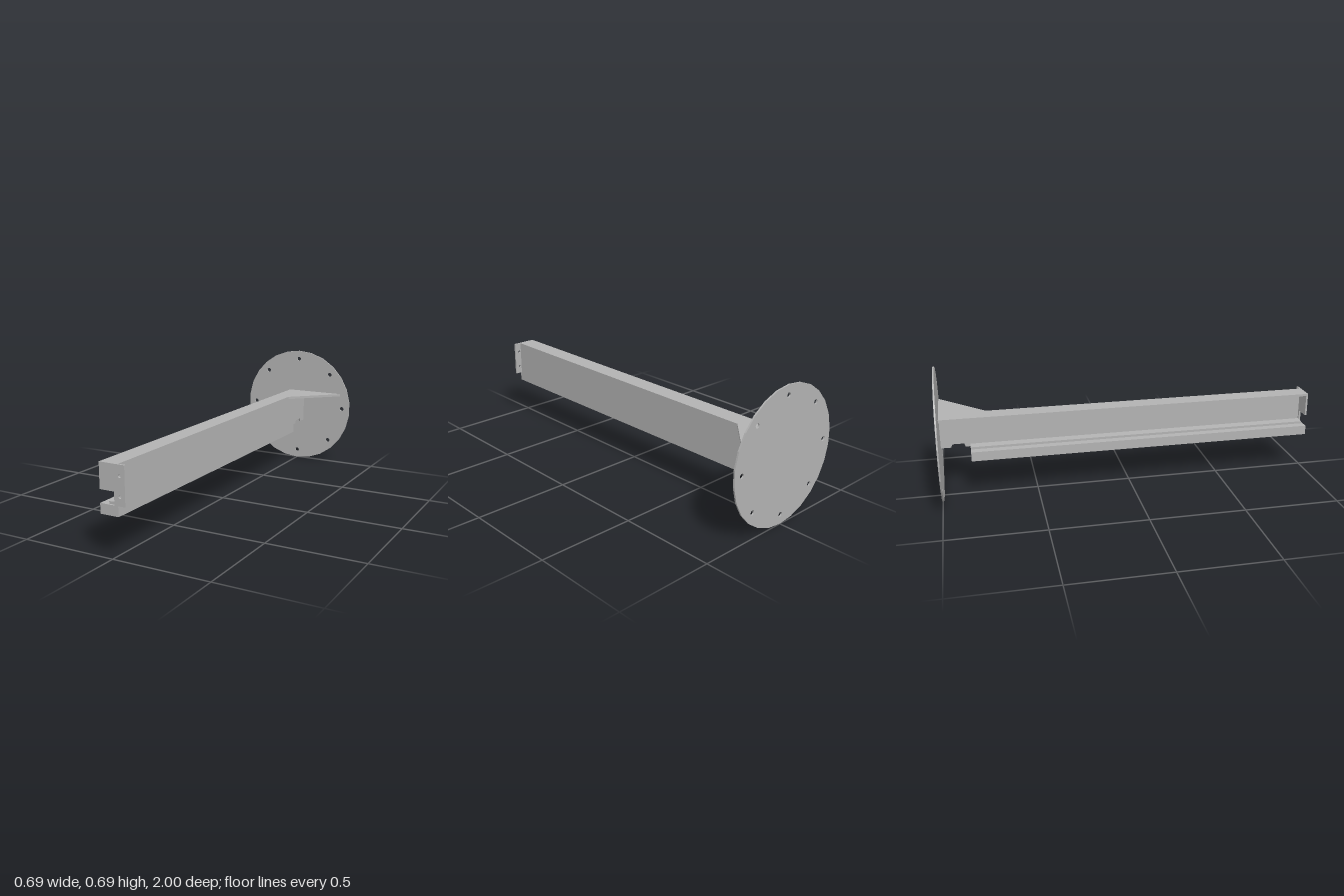
import * as THREE from 'three';

const steel = new THREE.MeshStandardMaterial({ color: 0xb2b2b2, flatShading: true });
steel.name = 'steel grey';

function outline(points) {
  return new THREE.Shape(points.map(([x, y]) => new THREE.Vector2(x, y)));
}

function drill(shape, x, y, r) {
  const hole = new THREE.Path();
  hole.absarc(x, y, r, 0, Math.PI * 2, true);
  shape.holes.push(hole);
}

// Extrudes an x-y outline between two z positions
function slab(name, shape, z0, z1) {
  const geo = new THREE.ExtrudeGeometry(shape, { depth: z1 - z0, bevelEnabled: false, curveSegments: 8 });
  geo.translate(0, 0, z0);
  const mesh = new THREE.Mesh(geo, steel);
  mesh.name = name;
  return mesh;
}

export function createModel() {
  const group = new THREE.Group();
  group.name = 'cantileverBeam';

  // Round mounting flange, 26 sides and eight bolt holes
  const cy = 0.346, disc = [];
  for (let i = 0; i < 26; i++) {
    const a = (i / 26) * Math.PI * 2;
    disc.push([-0.346 * Math.sin(a), cy + 0.346 * Math.cos(a)]);
  }
  const flange = outline(disc);
  for (let i = 0; i < 8; i++) {
    const a = (i * Math.PI) / 4;
    drill(flange, 0.296 * Math.cos(a), cy + 0.296 * Math.sin(a), 0.0125);
  }
  group.add(slab('mountingFlange', flange, -1, -0.992));

  // Top flange of the channel
  group.add(slab('topFlange', outline([
    [-0.057, 0.428], [0.04, 0.428], [0.04, 0.44], [-0.057, 0.44],
  ]), -0.992, 0.99));

  // Web, drawn in z-y and turned to face +x, with a relief notch at the back
  const web = slab('web', outline([
    [0.992, 0.252], [0.94, 0.252], [0.932, 0.27], [0.872, 0.27], [0.865, 0.252],
    [-0.99, 0.252], [-0.99, 0.428], [0.992, 0.428],
  ]), 0.032, 0.04);
  web.rotation.y = Math.PI / 2;
  group.add(web);

  // Lower rail with a low step against the web
  group.add(slab('lowerRail', outline([
    [-0.057, 0.202], [0.04, 0.202], [0.04, 0.252], [0.032, 0.252],
    [0.032, 0.266], [-0.015, 0.264], [-0.015, 0.252], [-0.057, 0.252],
  ]), -0.84, 0.99));
  group.add(slab('railEndCap', outline([
    [-0.057, 0.202], [0.04, 0.202], [0.04, 0.252], [-0.057, 0.252],
  ]), 0.99, 1));

  // Front end plate with a side cutout and two screw holes
  const end = outline([
    [0.02, 0.252], [0.078, 0.252], [0.078, 0.44], [-0.057, 0.44], [-0.057, 0.315], [0.02, 0.315],
  ]);
  drill(end, 0.051, 0.388, 0.0075);
  drill(end, 0.051, 0.294, 0.0075);
  group.add(slab('endPlate', end, 0.99, 1));

  // Triangular gusset, laid flat beside the top flange
  const gusset = slab('gusset', outline([
    [0.04, 0.75], [0.04, 0.992], [0.284, 0.992],
  ].reverse()), -0.44, -0.426);
  gusset.rotation.x = Math.PI / 2;
  gusset.scale.y = -1;
  gusset.geometry.scale(1, -1, 1);
  // Bake the turn so that all corners keep their order
  gusset.geometry.dispose();
  const flat = new THREE.ExtrudeGeometry(outline([[0.04, 0.75], [0.284, 0.992], [0.04, 0.992]]),
    { depth: 0.014, bevelEnabled: false });
  flat.rotateX(-Math.PI / 2);
  flat.translate(0, 0.426, 0);
  gusset.geometry = flat;
  gusset.rotation.set(0, 0, 0);
  gusset.scale.set(1, 1, 1);
  group.add(gusset);

  return group;
}
